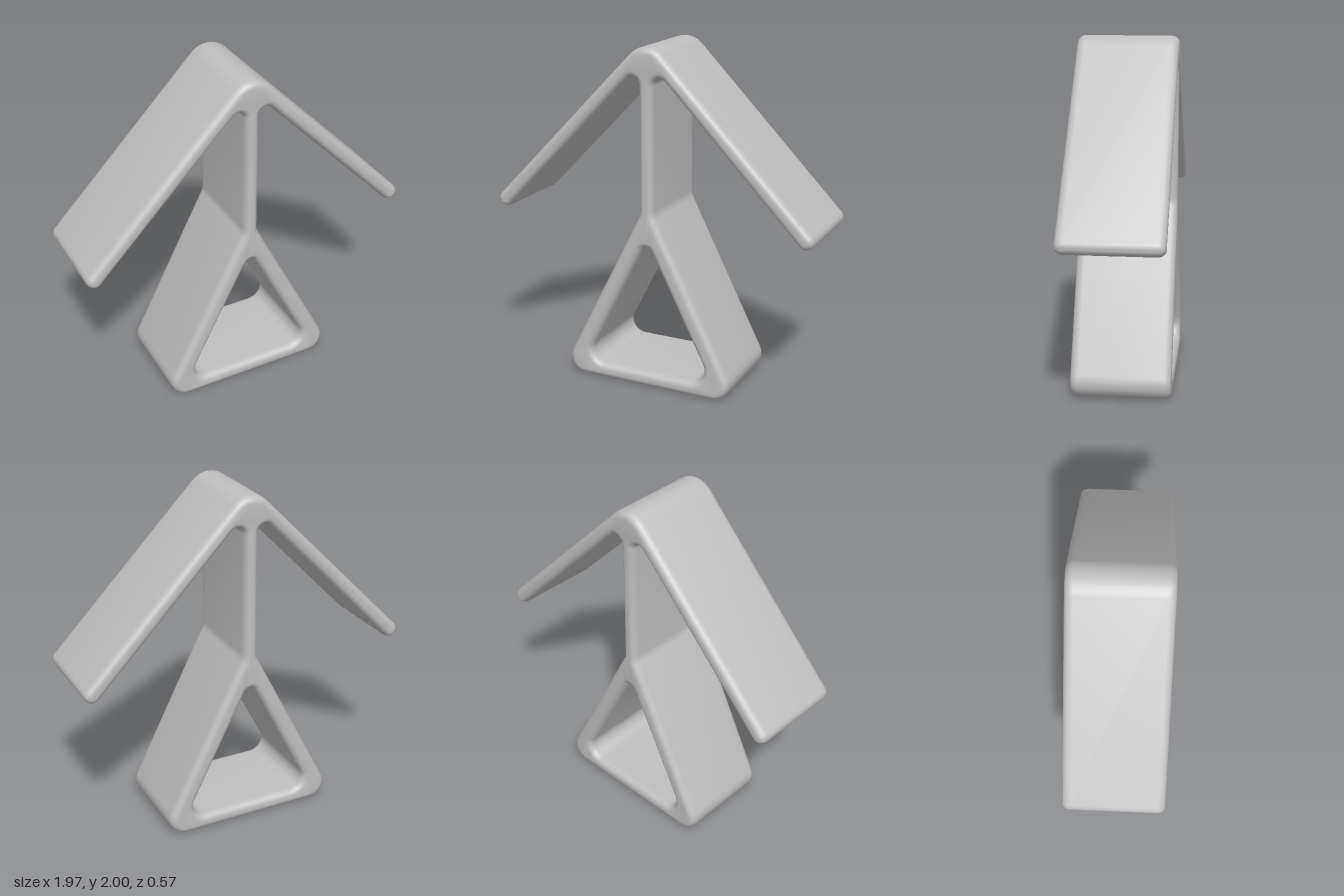
import * as THREE from 'three';
import { mergeVertices, toCreasedNormals } from 'three/addons/utils/BufferGeometryUtils.js';

// Turns corners [x, y, radius] into a closed outline with true arcs
function roundedOutline(corners, steps = 8) {
  const points = [];
  corners.forEach(([x, y, r], i) => {
    const before = corners[(i + corners.length - 1) % corners.length];
    const after = corners[(i + 1) % corners.length];
    const p = new THREE.Vector2(x, y);
    const a = new THREE.Vector2(before[0], before[1]).sub(p).normalize();
    const b = new THREE.Vector2(after[0], after[1]).sub(p).normalize();
    const half = Math.acos(THREE.MathUtils.clamp(a.dot(b), -1, 1)) / 2;
    const centre = a.clone().add(b).normalize().multiplyScalar(r / Math.sin(half)).add(p);
    const start = a.multiplyScalar(r / Math.tan(half)).add(p).sub(centre);
    const turn = Math.sign(start.cross(p.clone().sub(centre))) * (Math.PI - 2 * half);
    for (let k = 0; k <= steps; k++) {
      points.push(start.clone().rotateAround(new THREE.Vector2(), turn * k / steps).add(centre));
    }
  });
  return points;
}

export function createModel() {
  const model = new THREE.Group();
  const grey = new THREE.MeshStandardMaterial({ color: 0xbfbfbf });
  grey.name = 'light grey';

  // Right half, from the base up to the roof underside
  const half = [
    [0.577, 0, 0.1],          // foot corner
    [0.042, 1.05, 0.1],       // triangle meets the post
    [0.042, 1.89, 0.042],     // post meets the roof
    [0.939, 0.9635, 0.046],   // roof tip, lower edge
    [1.0065, 1.029, 0.046],   // roof tip, upper edge
  ];
  const mirrored = half.map(([x, y, r]) => [-x, y, r]).reverse();
  const shape = new THREE.Shape(roundedOutline([...half, [0, 2.058, 0.14], ...mirrored]));

  // Triangular opening of the base
  shape.holes.push(new THREE.Path(
    roundedOutline([[-0.413, 0.09, 0.08], [0, 0.9, 0.035], [0.413, 0.09, 0.08]])));

  // One fused frame with softly rounded front and back edges
  const depth = 0.57, bevel = 0.036, bevelDepth = 0.045;
  let geometry = new THREE.ExtrudeGeometry(shape, {
    depth: depth - 2 * bevelDepth,
    bevelSize: bevel,
    bevelOffset: -bevel,
    bevelThickness: bevelDepth,
    bevelSegments: 5,
  });
  geometry.translate(0, 0, bevelDepth - depth / 2);
  geometry.clearGroups();
  geometry.deleteAttribute('uv');
  geometry.deleteAttribute('normal');
  geometry = toCreasedNormals(mergeVertices(geometry, 1e-5), 0.6);

  const frame = new THREE.Mesh(geometry, grey);
  frame.name = 'roofPostAndTriangleBase';
  model.add(frame);
  return model;
}
